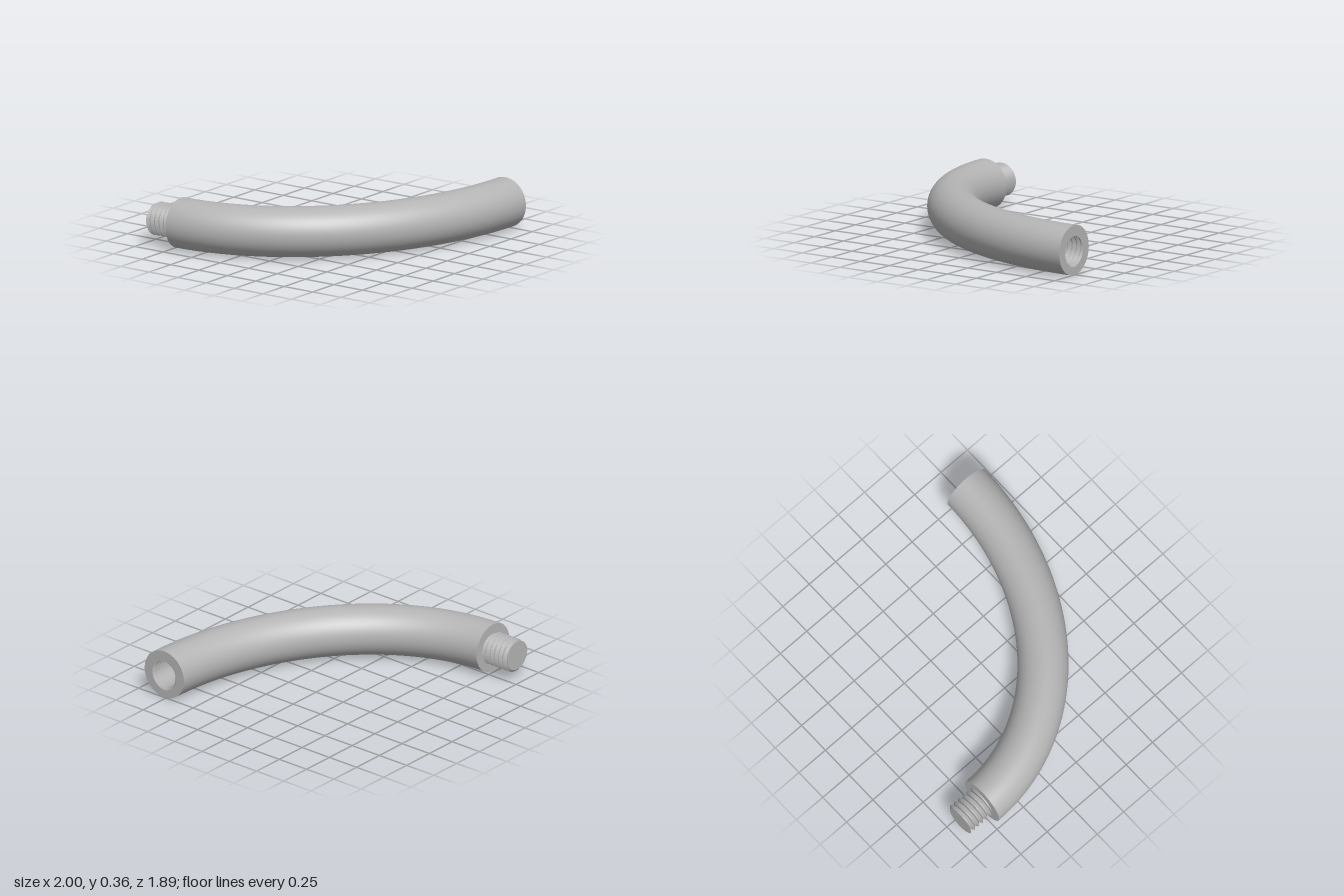
import * as THREE from 'three';
import { toCreasedNormals } from 'three/addons/utils/BufferGeometryUtils.js';

const RADIUS = 0.18, START_Z = -0.73;
const PITCH = 0.039, ROOT = 0.1, TOOTH = 0.021;

// Quarter-ellipse centre line of the bent bar
class BendCurve extends THREE.Curve {
  getPoint(t, target = new THREE.Vector3()) {
    const a = t * Math.PI / 2;
    return target.set(1 - 1.82 * Math.cos(a), RADIUS, START_Z + 1.495 * Math.sin(a));
  }
}

// Annular face of the bar, then a helical thread along +z, then an end disc.
// With inward set, the same surface is a threaded socket.
function threadedEnd(length, offset, inward) {
  const segments = 64, rows = [];
  const radiusAt = (t) => {
    const f = t - Math.floor(t);
    return ROOT + TOOTH * Math.max(0, 1 - Math.abs(f - 0.5) / 0.4);
  };
  const turns = Math.ceil(length / PITCH);
  rows.push(() => [RADIUS, 0]);
  for (let k = -2; k <= turns + 1; k++) {
    for (const step of [0.1, 0.5, 0.9]) {
      rows.push((u) => {
        const z = THREE.MathUtils.clamp(PITCH * (k + step + u - offset), 0, length);
        return [radiusAt(z / PITCH - u + offset), z];
      });
    }
  }
  rows.push((u) => [radiusAt(length / PITCH - u + offset), length]);
  rows.push(() => [0, length]);

  const point = (j, i) => {
    const u = i / segments, [r, z] = rows[j](u), a = u * Math.PI * 2;
    return new THREE.Vector3(r * Math.cos(a), r * Math.sin(a), z);
  };
  const positions = [], ab = new THREE.Vector3(), ac = new THREE.Vector3();
  const triangle = (a, b, c) => {
    // Skip triangles collapsed by trimming the thread at its ends
    if (ab.subVectors(b, a).cross(ac.subVectors(c, a)).length() < 1e-9) return;
    for (const p of inward ? [a, c, b] : [a, b, c]) positions.push(p.x, p.y, p.z);
  };
  for (let j = 0; j < rows.length - 1; j++) {
    for (let i = 0; i < segments; i++) {
      const a = point(j, i), b = point(j, i + 1);
      const c = point(j + 1, i + 1), d = point(j + 1, i);
      triangle(a, b, c);
      triangle(a, c, d);
    }
  }
  const geometry = new THREE.BufferGeometry();
  geometry.setAttribute('position', new THREE.Float32BufferAttribute(positions, 3));
  return toCreasedNormals(geometry, 0.5);
}

export function createModel() {
  const group = new THREE.Group();
  group.name = 'curvedThreadedBar';
  const steel = new THREE.MeshStandardMaterial({ color: 0xb4b4b4 });
  steel.name = 'grey steel';

  const add = (name, geometry) => {
    const mesh = new THREE.Mesh(geometry, steel);
    mesh.name = name;
    group.add(mesh);
    return mesh;
  };

  // Smooth bent bar
  add('bentBar', new THREE.TubeGeometry(new BendCurve(), 96, RADIUS, 64, false));

  // Male threaded stud pointing back
  const stud = add('threadedStud', threadedEnd(0.215, 0, false));
  stud.position.set(-0.82, RADIUS, START_Z);
  stud.rotation.y = Math.PI;

  // Female threaded socket sunk into the other end
  const socket = add('threadedSocket', threadedEnd(0.23, 0.25, true));
  socket.position.set(1, RADIUS, 0.765);
  socket.rotation.y = -Math.PI / 2;

  return group;
}
